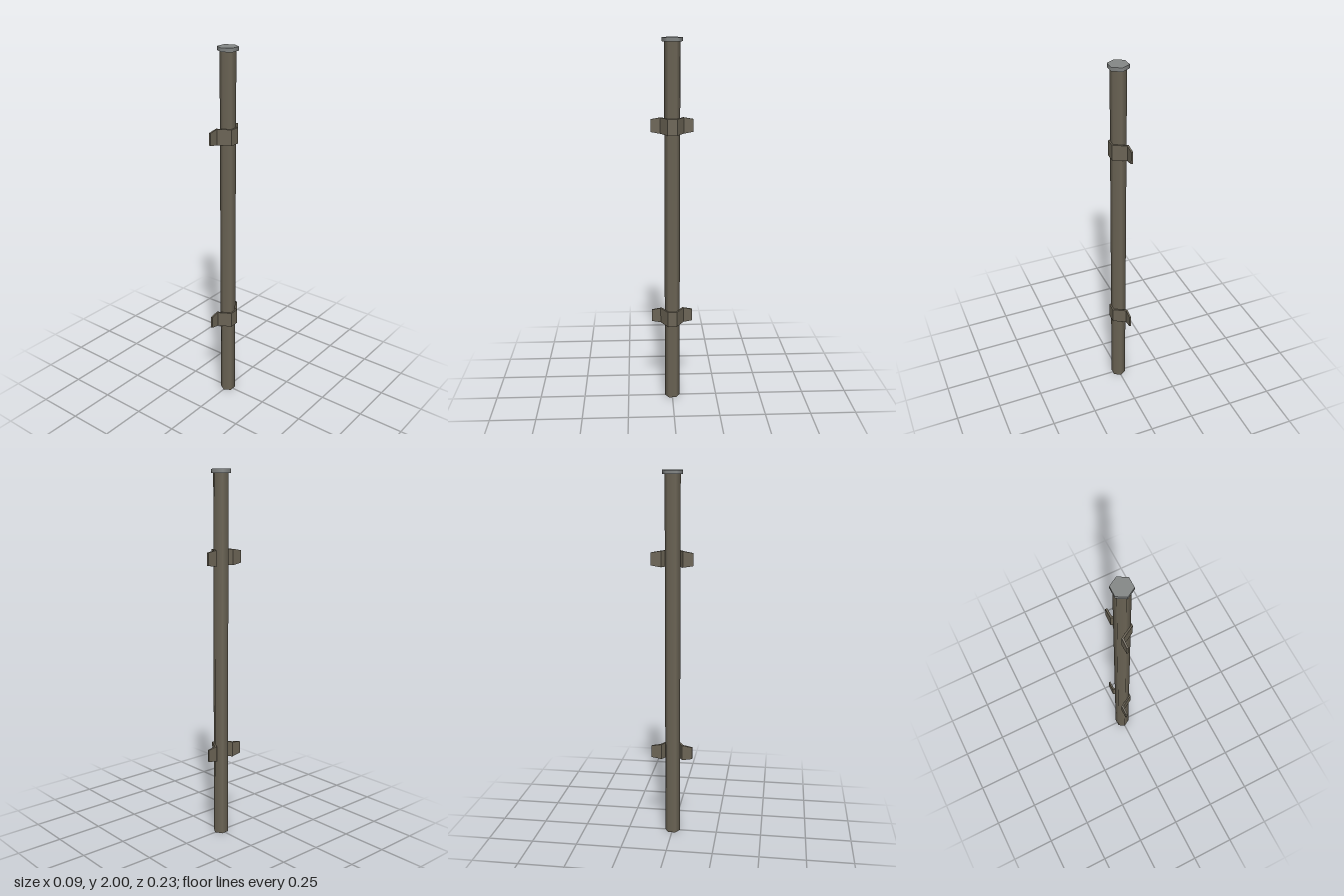
import * as THREE from 'three';

export function createModel() {
  const model = new THREE.Group();
  model.name = 'post';

  const metal = new THREE.MeshStandardMaterial({ color: 0x6b6455 });
  metal.name = 'weathered metal';
  const capGrey = new THREE.MeshStandardMaterial({ color: 0x848786 });
  capGrey.name = 'cap grey';

  const add = (geometry, material, name, y) => {
    const mesh = new THREE.Mesh(geometry, material);
    mesh.name = name;
    mesh.position.y = y;
    model.add(mesh);
  };

  // Six-sided pole with a wider cap
  add(new THREE.CylinderGeometry(0.0415, 0.0415, 1.985, 6), metal, 'pole', 0.9925);
  add(new THREE.CylinderGeometry(0.054, 0.054, 0.02, 6), capGrey, 'cap', 1.99);

  // Bent strap: wraps the +x side of the pole, then turns out into two tabs
  const outer = [[0.044, 0.0254], [-0.022, 0.0635], [-0.022, 0.113]];
  const inner = [[-0.032, 0.113], [-0.032, 0.0577], [0.034, 0.0196]];
  const half = [...outer, ...inner];
  const mirrored = half.map(([x, z]) => [x, -z]).reverse();
  const outline = [...half, ...mirrored].map(([x, z]) => new THREE.Vector2(x, -z));

  const height = 0.085;
  const strap = new THREE.ExtrudeGeometry(new THREE.Shape(outline), { depth: height, bevelEnabled: false });
  strap.translate(0, 0, -height / 2);
  strap.rotateX(-Math.PI / 2);

  // Taper the tab ends
  const pos = strap.attributes.position;
  for (let i = 0; i < pos.count; i++) {
    if (Math.abs(pos.getZ(i)) > 0.1) pos.setY(i, pos.getY(i) * 0.78);
  }
  strap.computeVertexNormals();

  add(strap, metal, 'lowerBracket', 0.482);
  add(strap, metal, 'upperBracket', 1.549);

  return model;
}
